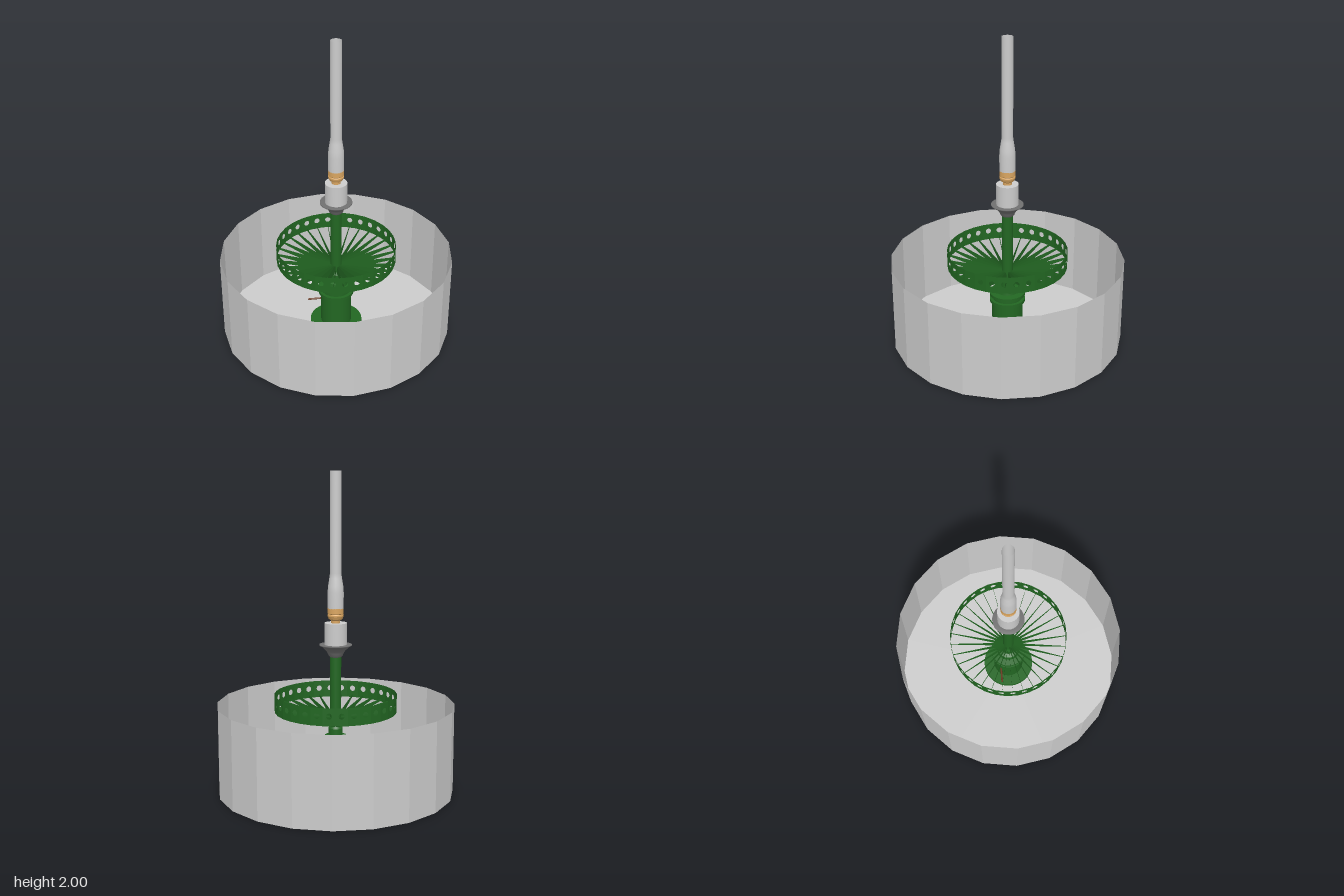
import * as THREE from 'three';

const mat = (color, extra = {}) => new THREE.MeshStandardMaterial({ color, side: THREE.DoubleSide, ...extra });
const V = (r, y) => new THREE.Vector2(r, y);

export function createModel() {
  const model = new THREE.Group();
  const grey = mat(0xcccccc);
  const facetedGrey = mat(0xcccccc, { flatShading: true });
  const green = mat(0x226622);
  const darkGrey = mat(0x707070);
  const tan = mat(0xd9a560);
  const rust = mat(0x6b3a20);

  function add(name, geometry, material, parent = model) {
    const mesh = new THREE.Mesh(geometry, material);
    mesh.name = name;
    parent.add(mesh);
    return mesh;
  }
  // Turned part; each straight run is its own strip so profile corners stay sharp
  function turned(name, profile, material, sides = 24) {
    const group = new THREE.Group();
    group.name = name;
    for (let i = 0; i < profile.length - 1; i++) {
      const [a, b] = [profile[i], profile[i + 1]];
      add(name + 'Band', new THREE.LatheGeometry([V(...a), V(...b)], sides), material, group);
    }
    model.add(group);
  }

  // Open basin with twenty flat sides and a floor
  const basinR = 0.745, basinH = 0.56;
  add('basinWall', new THREE.CylinderGeometry(basinR, basinR, basinH, 20, 1, true), facetedGrey)
    .position.y = basinH / 2;
  add('basinFloor', new THREE.CylinderGeometry(basinR, basinR, 0.004, 20), facetedGrey).position.y = 0.002;

  // Pedestal: foot flange, drum and stepped collars
  turned('pedestal', [
    [0, 0.005], [0.17, 0.005], [0.17, 0.03], [0.1, 0.03], [0.1, 0.25], [0.115, 0.25], [0.115, 0.27],
    [0.095, 0.27], [0.095, 0.295], [0.115, 0.295], [0.115, 0.315], [0.075, 0.32], [0.07, 0.35],
    [0.045, 0.36], [0.045, 0.4], [0.035, 0.42],
  ], green, 32);

  // Small side pipe on the drum
  const pipe = add('sidePipe', new THREE.CylinderGeometry(0.006, 0.006, 0.1, 10), rust);
  pipe.rotation.z = Math.PI / 2;
  pipe.position.set(-0.13, 0.16, -0.057);

  // Central post
  add('post', new THREE.CylinderGeometry(0.035, 0.035, 0.46, 20), green).position.y = 0.64;

  // Perforated ring of thin panels, carried on thin upright spokes
  const count = 32, ringR = 0.382, ringLow = 0.51, ringTop = 0.62;
  const half = ringR * Math.tan(Math.PI / count);
  const panel = new THREE.Shape([V(-half, ringLow), V(half, ringLow), V(half, ringTop), V(-half, ringTop)]);
  const hole = new THREE.Path();
  hole.absarc(0, 0.57, 0.018, 0, Math.PI * 2, true);
  panel.holes.push(hole);
  const panelGeometry = new THREE.ShapeGeometry(panel, 8);
  const spokeGeometry = new THREE.ShapeGeometry(
    new THREE.Shape([V(0.03, 0.41), V(ringR, 0.515), V(ringR, 0.53), V(0.03, 0.47)]));
  const wheel = new THREE.Group();
  wheel.name = 'sprayRing';
  for (let i = 0; i < count; i++) {
    const angle = (i / count) * Math.PI * 2;
    const p = add('ringPanel', panelGeometry, green, wheel);
    p.rotation.y = angle;
    p.position.set(Math.sin(angle) * ringR, 0, Math.cos(angle) * ringR);
    add('spoke', spokeGeometry, green, wheel).rotation.y = angle;
  }
  model.add(wheel);

  // Flared dish below the nozzle body
  add('flaredDish', new THREE.LatheGeometry([
    V(0.035, 0.855), V(0.045, 0.865), V(0.05, 0.88), V(0.06, 0.895), V(0.075, 0.91),
    V(0.09, 0.924), V(0.102, 0.928), V(0.102, 0.934), V(0.07, 0.934),
  ], 28), darkGrey);

  // Nozzle body
  turned('nozzleBody', [[0.07, 0.93], [0.07, 1.07], [0.03, 1.07]], grey, 28);

  // Rounded nozzle tip with grooves
  turned('nozzleTip', [
    [0.028, 1.065], [0.028, 1.085], [0.043, 1.095], [0.05, 1.112], [0.05, 1.12], [0.046, 1.125],
    [0.05, 1.13], [0.05, 1.162], [0.02, 1.162],
  ], tan);

  // Tall water jet, open at the top
  add('waterJet', new THREE.LatheGeometry([
    V(0.05, 1.16), V(0.05, 1.26), V(0.047, 1.3), V(0.039, 1.35), V(0.035, 1.38), V(0.035, 2),
  ], 20), grey);

  return model;
}
